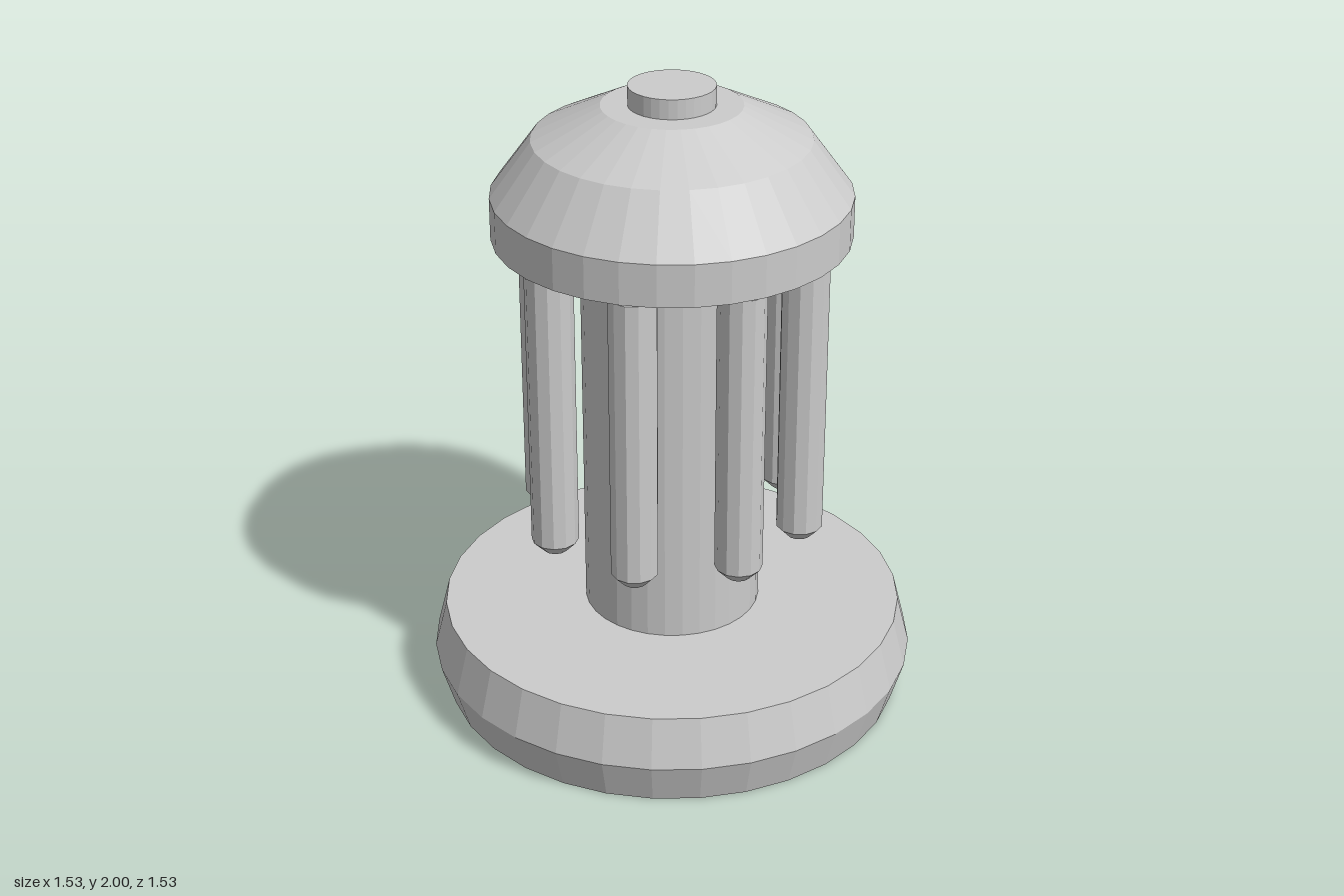
import * as THREE from 'three';

const grey = new THREE.MeshStandardMaterial({ color: 0xcccccc, flatShading: true });

// Solid of revolution from [radius, height] pairs, listed bottom to top
function turned(name, profile, sides) {
  const points = profile.map(([r, y]) => new THREE.Vector2(r, y));
  const mesh = new THREE.Mesh(new THREE.LatheGeometry(points, sides), grey);
  mesh.name = name;
  return mesh;
}

export function createModel() {
  const model = new THREE.Group();
  model.name = 'pillarWithHangingRods';

  // Heavy base, widest just below mid height
  model.add(turned('base', [[0, 0], [0.725, 0], [0.765, 0.135], [0.725, 0.29], [0, 0.29]], 32));

  // Central column between base and cap
  model.add(turned('column', [[0.277, 0.29], [0.277, 1.545]], 32));

  // Domed cap with a straight rim
  model.add(turned('cap', [
    [0, 1.54], [0.54, 1.54], [0.54, 1.67], [0.415, 1.84], [0.21, 1.94], [0, 1.94],
  ], 32));

  // Short knob on top
  model.add(turned('topKnob', [[0.13, 1.94], [0.13, 2], [0, 2]], 32));

  // Ring of eight rods, each hung from the cap by a thin neck
  const rods = new THREE.Group();
  rods.name = 'hangingRods';
  const rodProfile = [
    [0, 0.563], [0.038, 0.563], [0.073, 0.6], [0.073, 1.51],
    [0.042, 1.51], [0.042, 1.545],
  ];
  for (let i = 0; i < 8; i++) {
    const angle = (i + 0.5) * Math.PI / 4;
    const rod = turned('hangingRod', rodProfile, 12);
    rod.position.set(0.412 * Math.sin(angle), 0, 0.412 * Math.cos(angle));
    rod.rotation.y = angle;
    rods.add(rod);
  }
  model.add(rods);

  return model;
}
